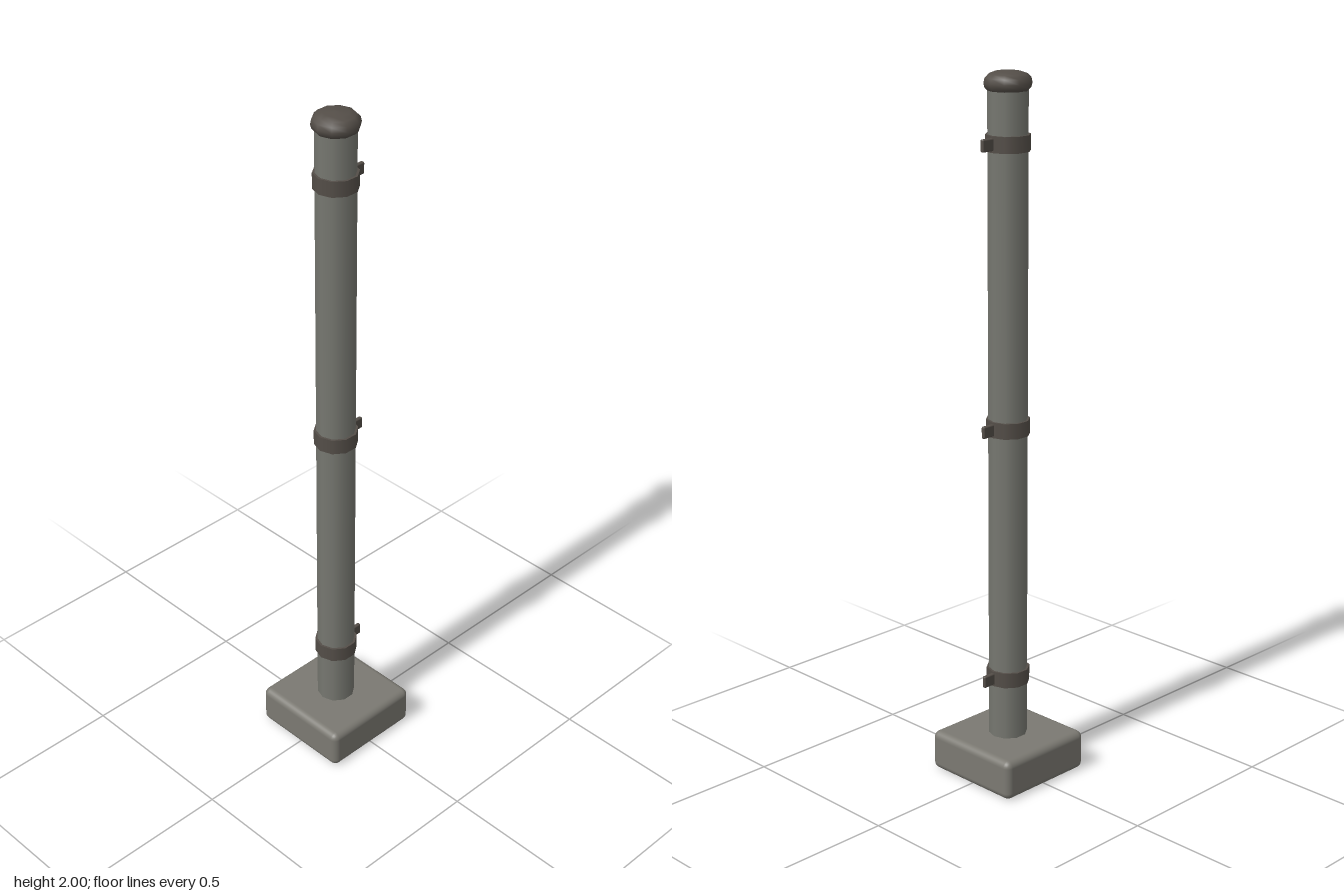
import * as THREE from 'three';
import { RoundedBoxGeometry } from 'three/addons/geometries/RoundedBoxGeometry.js';

const SIDES = 10;

function material(name, color) {
  const m = new THREE.MeshStandardMaterial({ color });
  m.name = name;
  return m;
}

export function createModel() {
  const model = new THREE.Group();
  model.name = 'post';
  const concrete = material('warm grey concrete', 0x7b7972);
  const steel = material('grey steel', 0x767770);
  const darkMetal = material('dark brown metal', 0x544e48);

  function add(name, geometry, mat, x, y, parent = model) {
    const mesh = new THREE.Mesh(geometry, mat);
    mesh.name = name;
    mesh.position.set(x, y, 0);
    parent.add(mesh);
  }

  // Cylinder turned so that a corner points along +x
  const prism = (radius, height) =>
    new THREE.CylinderGeometry(radius, radius, height, SIDES).rotateY(Math.PI / 2);

  // Square footing with softened edges
  add('footing', new RoundedBoxGeometry(0.31, 0.116, 0.31, 3, 0.02), concrete, 0, 0.058);

  // Upright
  add('pole', prism(0.055, 1.86), steel, 0, 1.04);

  // Low domed cap
  const capProfile = [
    [0, 1.946], [0.053, 1.946], [0.062, 1.955], [0.065, 1.967],
    [0.062, 1.981], [0.052, 1.991], [0.035, 1.997], [0, 2],
  ].map(([r, y]) => new THREE.Vector2(r, y));
  add('cap', new THREE.LatheGeometry(capProfile, SIDES).rotateY(Math.PI / 2), darkMetal, 0, 0);

  // Clamp bands, each with a small tab on the left
  for (const y of [0.297, 1.033, 1.812]) {
    const clamp = new THREE.Group();
    clamp.name = 'clamp';
    clamp.position.y = y;
    model.add(clamp);
    add('band', prism(0.0615, 0.044), darkMetal, 0, 0, clamp);
    add('tab', new RoundedBoxGeometry(0.05, 0.034, 0.012, 2, 0.004), darkMetal, 0.072, 0, clamp);
  }
  return model;
}
